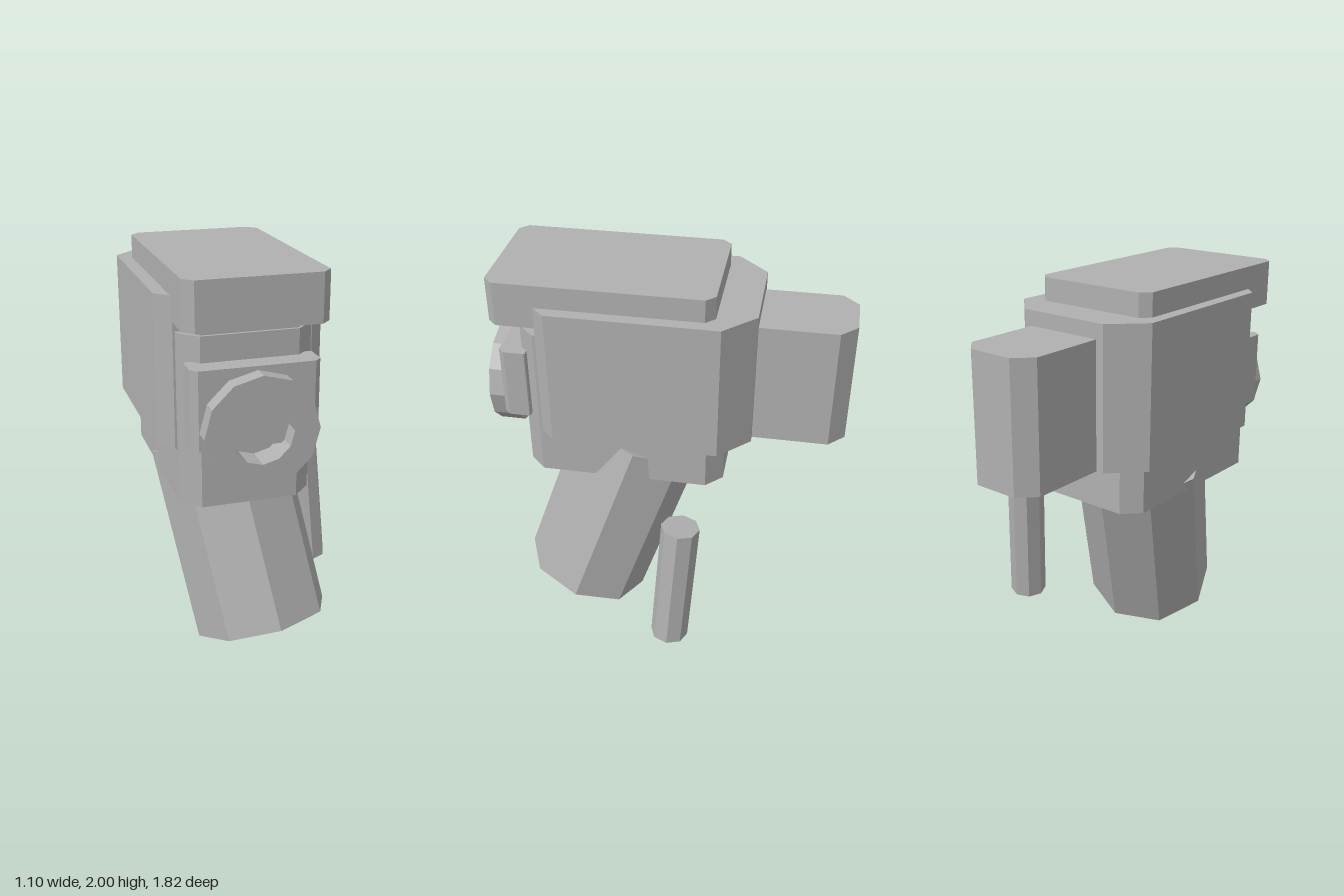
import * as THREE from 'three';

const grey = new THREE.MeshStandardMaterial({ color: 0xb0b0b0, flatShading: true });
grey.name = 'grey';

// Upright block whose vertical corners are cut at 45 degrees
function block(name, [x0, x1], [y0, y1], [z0, z1], frontCut, backCut) {
  const corners = [
    [x0 + frontCut, z1], [x1 - frontCut, z1], [x1, z1 - frontCut], [x1, z0 + backCut],
    [x1 - backCut, z0], [x0 + backCut, z0], [x0, z0 + backCut], [x0, z1 - frontCut],
  ];
  const shape = new THREE.Shape(corners.map(([x, z]) => new THREE.Vector2(x, -z)));
  const geometry = new THREE.ExtrudeGeometry(shape, { depth: y1 - y0, bevelEnabled: false });
  geometry.rotateX(-Math.PI / 2).translate(0, y0, 0);
  const mesh = new THREE.Mesh(geometry, grey);
  mesh.name = name;
  return mesh;
}

// Eight-sided rod between two points
function rod(name, from, to, radius) {
  const a = new THREE.Vector3(...from), b = new THREE.Vector3(...to);
  const axis = b.clone().sub(a);
  const mesh = new THREE.Mesh(new THREE.CylinderGeometry(radius, radius, axis.length(), 8), grey);
  mesh.position.copy(a).add(b).multiplyScalar(0.5);
  mesh.quaternion.setFromUnitVectors(new THREE.Vector3(0, 1, 0), axis.normalize());
  mesh.name = name;
  return mesh;
}

// Corner points of a regular twelve-sided outline
function dodecagon(radius) {
  return Array.from({ length: 12 }, (_, i) => {
    const t = (i / 12) * Math.PI * 2;
    return new THREE.Vector2(Math.cos(t) * radius, Math.sin(t) * radius);
  });
}

export function createModel() {
  const group = new THREE.Group();
  group.name = 'cameraBody';

  // Stacked housing
  group.add(
    block('lid', [-0.492, 0.164], [1.775, 2], [-0.25, 0.855], 0.045, 0.045),
    block('mainHousing', [-0.555, 0.228], [1.175, 1.885], [-0.443, 0.62], 0.068, 0.155),
    block('rearHousing', [-0.36, 0.034], [1.175, 1.81], [-0.91, -0.4], 0.01, 0.082),
    block('lowerHousing', [-0.477, 0.147], [0.917, 1.725], [-0.308, 0.725], 0.085, 0.083),
    block('neck', [-0.395, 0.067], [1.7, 1.79], [0.4, 0.71], 0.005, 0.005),
    block('lensPlate', [-0.46, 0.132], [1.237, 1.605], [0.69, 0.83], 0.03, 0.005),
  );

  // Lens ring with an open centre
  const ring = new THREE.Shape(dodecagon(0.264));
  ring.holes.push(new THREE.Path(dodecagon(0.145)));
  const lens = new THREE.Mesh(
    new THREE.ExtrudeGeometry(ring, { depth: 0.132, bevelEnabled: false }), grey);
  lens.position.set(-0.164, 1.323, 0.778);
  lens.name = 'lensRing';
  group.add(lens);

  // Slanted grip and the loose rod beside it
  group.add(
    rod('grip', [-0.016, 0.12, 0.475], [-0.162, 1.03, 0.158], 0.343),
    rod('sideRod', [0.45, 0.12, -0.09], [0.4, 0.835, -0.138], 0.099),
  );
  return group;
}
